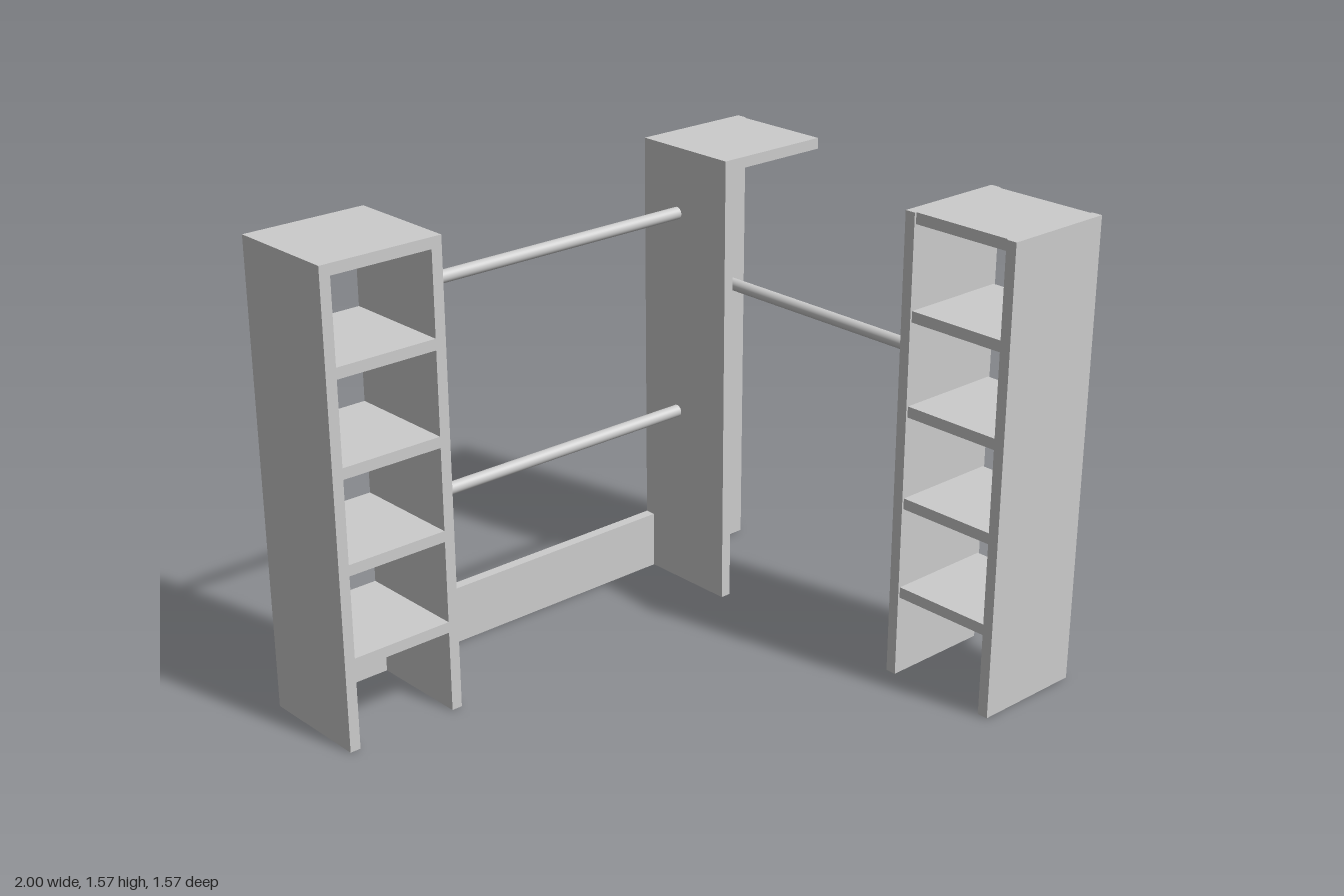
import * as THREE from 'three';

const H = 1.57;   // overall height
const T = 0.037;  // board thickness
const BACK = -0.785, DEPTH_FRONT = -0.393;

export function createModel() {
  const model = new THREE.Group();
  model.name = 'openWardrobe';
  const material = new THREE.MeshStandardMaterial({ color: 0xcccccc });

  // Board given by its extents on each axis
  function board(parent, name, [x0, x1], [y0, y1], [z0, z1]) {
    const mesh = new THREE.Mesh(new THREE.BoxGeometry(x1 - x0, y1 - y0, z1 - z0), material);
    mesh.position.set((x0 + x1) / 2, (y0 + y1) / 2, (z0 + z1) / 2);
    mesh.name = name;
    parent.add(mesh);
  }

  // Round rail along x or z
  function rail(name, axis, length, x, y, z) {
    const geometry = new THREE.CylinderGeometry(0.021, 0.021, length, 32);
    if (axis === 'x') geometry.rotateZ(Math.PI / 2);
    else geometry.rotateX(Math.PI / 2);
    const mesh = new THREE.Mesh(geometry, material);
    mesh.position.set(x, y, z);
    mesh.name = name;
    model.add(mesh);
  }

  function unit(name) {
    const group = new THREE.Group();
    group.name = name;
    model.add(group);
    return group;
  }

  // Four evenly spaced shelves plus the top board
  function shelves(parent, xs, zs) {
    for (let i = 1; i <= 5; i++) {
      const top = (H * i) / 5;
      board(parent, i === 5 ? 'topBoard' : 'shelf', xs, [top - T, top], zs);
    }
  }

  // Shelf tower on the right, open to front and back
  const z = [BACK, DEPTH_FRONT];
  const rightTower = unit('rightShelfTower');
  board(rightTower, 'outerSide', [-1, -1 + T], [0, H], z);
  board(rightTower, 'innerSide', [-0.572 - T, -0.572], [0, H], z);
  shelves(rightTower, [-1 + T, -0.572 - T], z);

  // Corner unit: side, back and top boards
  const corner = unit('cornerUnit');
  board(corner, 'cornerSide', [0.568, 0.605], [0, H], z);
  board(corner, 'cornerBack', [0.605, 1], [0, H], [BACK, BACK + T]);
  board(corner, 'cornerTop', [0.605, 0.993], [H - T, H], [BACK + T, DEPTH_FRONT]);

  // Low rear boards joining the two units
  const rear = [BACK, BACK + T];
  board(model, 'rearBoard', [-0.572, 0.568], [0, 0.2], rear);
  board(model, 'towerRearBoard', [-1 + T, -0.572 - T], [0, 0.2], rear);

  // Free-standing front tower, open to both sides
  const frontTower = unit('frontShelfTower');
  board(frontTower, 'frontPanel', [0.605, 1], [0, H], [0.785 - T, 0.785]);
  board(frontTower, 'rearPanel', [0.605, 1], [0, H], [0.355, 0.355 + T]);
  shelves(frontTower, [0.612, 0.993], [0.355 + T, 0.785 - T]);

  // Hanging rails
  for (const y of [1.345, 0.635]) rail('rearRail', 'x', 1.14, -0.002, y, -0.625);
  rail('sideRail', 'z', 0.355 - (BACK + T), 0.78, 1.06, (0.355 + BACK + T) / 2);

  return model;
}
